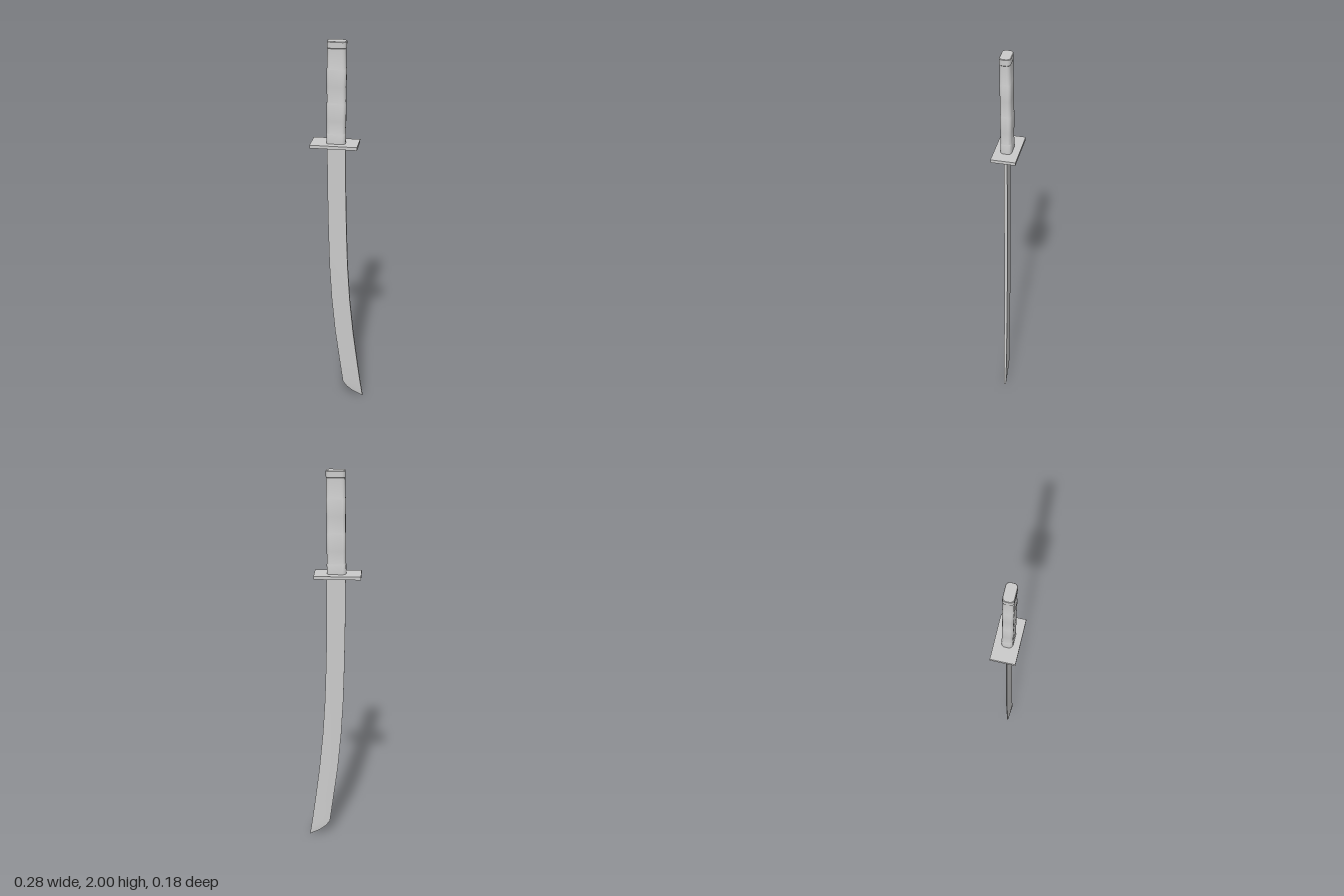
import * as THREE from 'three';
import { toCreasedNormals } from 'three/addons/utils/BufferGeometryUtils.js';

const material = new THREE.MeshStandardMaterial({ color: 0xcccccc });

// Skin a list of equal-sized rings (ordered top to bottom) and cap both ends.
function loft(rings, crease) {
  const n = rings[0].length;
  const index = [];
  for (let r = 0; r < rings.length - 1; r++) {
    for (let i = 0; i < n; i++) {
      const a = r * n + i, b = r * n + (i + 1) % n;
      index.push(a, b, a + n, b, b + n, a + n);
    }
  }
  const last = (rings.length - 1) * n;
  for (let i = 1; i < n - 1; i++) {
    index.push(0, i + 1, i, last, last + i, last + i + 1);
  }
  const geometry = new THREE.BufferGeometry();
  geometry.setAttribute('position', new THREE.Float32BufferAttribute(rings.flat(2), 3));
  geometry.setIndex(index);
  return toCreasedNormals(geometry, crease);
}

// Rounded-rectangle ring of the grip, following its slight lean.
function gripRing(y, grow) {
  const t = (y - 1.48) / 0.52;
  const cx = -0.005 + 0.005 * t, cz = 0.0036 + 0.0042 * t;
  const radius = 0.019, hx = 0.047 + grow - radius, hz = 0.0265 + grow - radius;
  const corners = [[1, 1], [-1, 1], [-1, -1], [1, -1]];
  const ring = [];
  corners.forEach(([sx, sz], q) => {
    for (let k = 0; k <= 5; k++) {
      const a = (q + k / 5) * Math.PI / 2;
      ring.push([cx + sx * hx + radius * Math.cos(a), y, cz + sz * hz + radius * Math.sin(a)]);
    }
  });
  // clockwise seen from above, so that the walls face outward
  return ring.reverse();
}

export function createModel() {
  const group = new THREE.Group();
  group.name = 'sword';
  const add = (name, geometry) => {
    const mesh = new THREE.Mesh(geometry, material);
    mesh.name = name;
    group.add(mesh);
    return mesh;
  };

  // Grip: collar, wrapped bands with shallow steps, and end cap
  const gripProfile = [
    [2, -0.001], [1.997, 0.001], [1.968, 0.001], [1.965, -0.001],
    [1.868, 0], [1.862, 0.0015], [1.775, 0.0005], [1.693, 0],
    [1.687, 0.0015], [1.6, 0.001], [1.535, 0], [1.53, 0.0015], [1.475, 0.0015],
  ];
  add('grip', loft(gripProfile.map(([y, grow]) => gripRing(y, grow)), 0.5));

  // Rectangular guard
  const guard = add('guard', new THREE.BoxGeometry(0.236, 0.016, 0.124));
  guard.position.set(-0.011, 1.475, 0.0015);

  // Curved single-edged blade: cutting edge x, spine x, edge y, spine y, sideways drift
  const stations = [
    [-0.051, 0.044, 1.475, 1.475, 0.003],
    [-0.049, 0.045, 1.2, 1.2, 0.002],
    [-0.046, 0.049, 1, 1, 0.001],
    [-0.041, 0.055, 0.8, 0.8, -0.001],
    [-0.030, 0.067, 0.6, 0.6, -0.003],
    [-0.012, 0.086, 0.4, 0.4, -0.006],
    [0.014, 0.111, 0.2, 0.2, -0.009],
    [0.030, 0.127, 0.08, 0.08, -0.011],
    [0.052, 0.131, 0.05, 0.055, -0.012],
    [0.085, 0.135, 0.024, 0.03, -0.0125],
    [0.134, 0.139, 0.001, 0, -0.013],
  ];
  const blade = stations.map(([edge, spine, ye, ys, z], i) => {
    const half = 0.0085 - 0.0025 * i / (stations.length - 1);
    const mid = (edge + spine) / 2, ym = (ye + ys) / 2;
    return [
      [edge, ye, z - 0.0025], [mid, ym, z - half * 0.85], [spine, ys, z - half],
      [spine, ys, z + half], [mid, ym, z + half * 0.85], [edge, ye, z + 0.0025],
    ];
  });
  add('blade', loft(blade.map((ring) => ring.reverse()), 0.4)).geometry.computeBoundingSphere();

  // Fix winding by construction check: rings run clockwise or not depending on the section
  group.children.forEach((mesh) => orientOutward(mesh.geometry));

  // The whole sword is turned about the vertical
  group.rotation.y = -0.279;
  const root = new THREE.Group();
  root.name = 'curvedSword';
  root.add(group);
  return root;
}

// Flip a closed non-indexed skin whose signed volume is negative.
function orientOutward(geometry) {
  if (geometry.index) return;
  const p = geometry.attributes.position;
  const v = [0, 1, 2].map(() => new THREE.Vector3());
  let volume = 0;
  for (let i = 0; i < p.count; i += 3) {
    v.forEach((q, k) => q.fromBufferAttribute(p, i + k));
    volume += v[0].dot(v[1].clone().cross(v[2]));
  }
  if (volume >= 0) return;
  for (const attribute of [p, geometry.attributes.normal]) {
    for (let i = 0; i < p.count; i += 3) {
      v.forEach((q, k) => q.fromBufferAttribute(attribute, i + k));
      if (attribute !== p) v.forEach((q) => q.negate());
      attribute.setXYZ(i + 1, v[2].x, v[2].y, v[2].z);
      attribute.setXYZ(i + 2, v[1].x, v[1].y, v[1].z);
      attribute.setXYZ(i, v[0].x, v[0].y, v[0].z);
    }
  }
}
